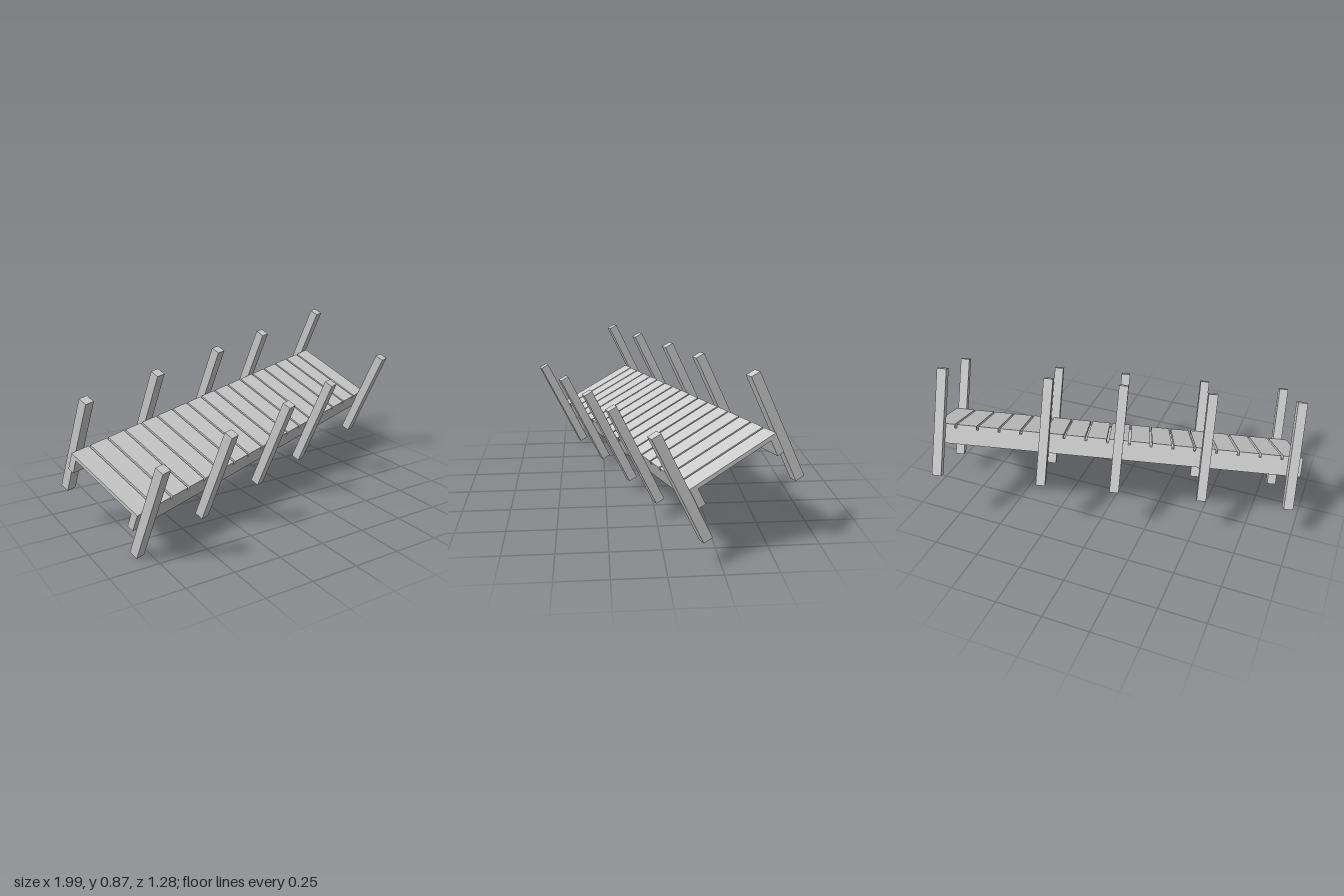
import * as THREE from 'three';

const material = new THREE.MeshStandardMaterial({ color: 0xcccccc, flatShading: true });

function addBox(parent, name, size, position) {
  const mesh = new THREE.Mesh(new THREE.BoxGeometry(...size), material);
  mesh.name = name;
  mesh.position.set(...position);
  parent.add(mesh);
}

export function createModel() {
  const model = new THREE.Group();
  model.name = 'boardwalk';

  // The walkway is built level (length on x, deck top at y = 0), then tilted
  const walkway = new THREE.Group();
  walkway.name = 'walkway';
  model.add(walkway);

  const length = 1.905, width = 0.466, plankThickness = 0.02;
  const beamHeight = 0.083, beamThickness = 0.036, postSize = 0.048, postHeight = 0.557;

  // Planks laid across the walkway with narrow gaps
  const count = 17, gap = 0.011;
  const plankWidth = (length - gap * (count - 1)) / count;
  for (let i = 0; i < count; i++) {
    const x = -length / 2 + plankWidth / 2 + i * (plankWidth + gap);
    addBox(walkway, 'plank', [plankWidth, plankThickness, width], [x, -plankThickness / 2, 0]);
  }

  // A beam and a row of posts on each long side
  const postPositions = [-0.903, -0.453, -0.001, 0.381, 0.921];
  for (const side of [-1, 1]) {
    addBox(walkway, 'sideBeam', [length, beamHeight, beamThickness],
      [0, -plankThickness - beamHeight / 2, side * (width - beamThickness) / 2]);
    for (const x of postPositions) {
      addBox(walkway, 'post', [postSize, postHeight, postSize],
        [x, 0.01, side * (width + postSize) / 2]);
    }
  }

  // Tilt the whole walkway
  const along = new THREE.Vector3(0.95, 0.071, -0.304).normalize();
  const across = new THREE.Vector3().crossVectors(along, new THREE.Vector3(0.066, 0.905, 0.42)).normalize();
  const up = new THREE.Vector3().crossVectors(across, along);
  walkway.quaternion.setFromRotationMatrix(new THREE.Matrix4().makeBasis(along, up, across));
  walkway.position.set(-0.011, 0.428, -0.003);

  return model;
}
